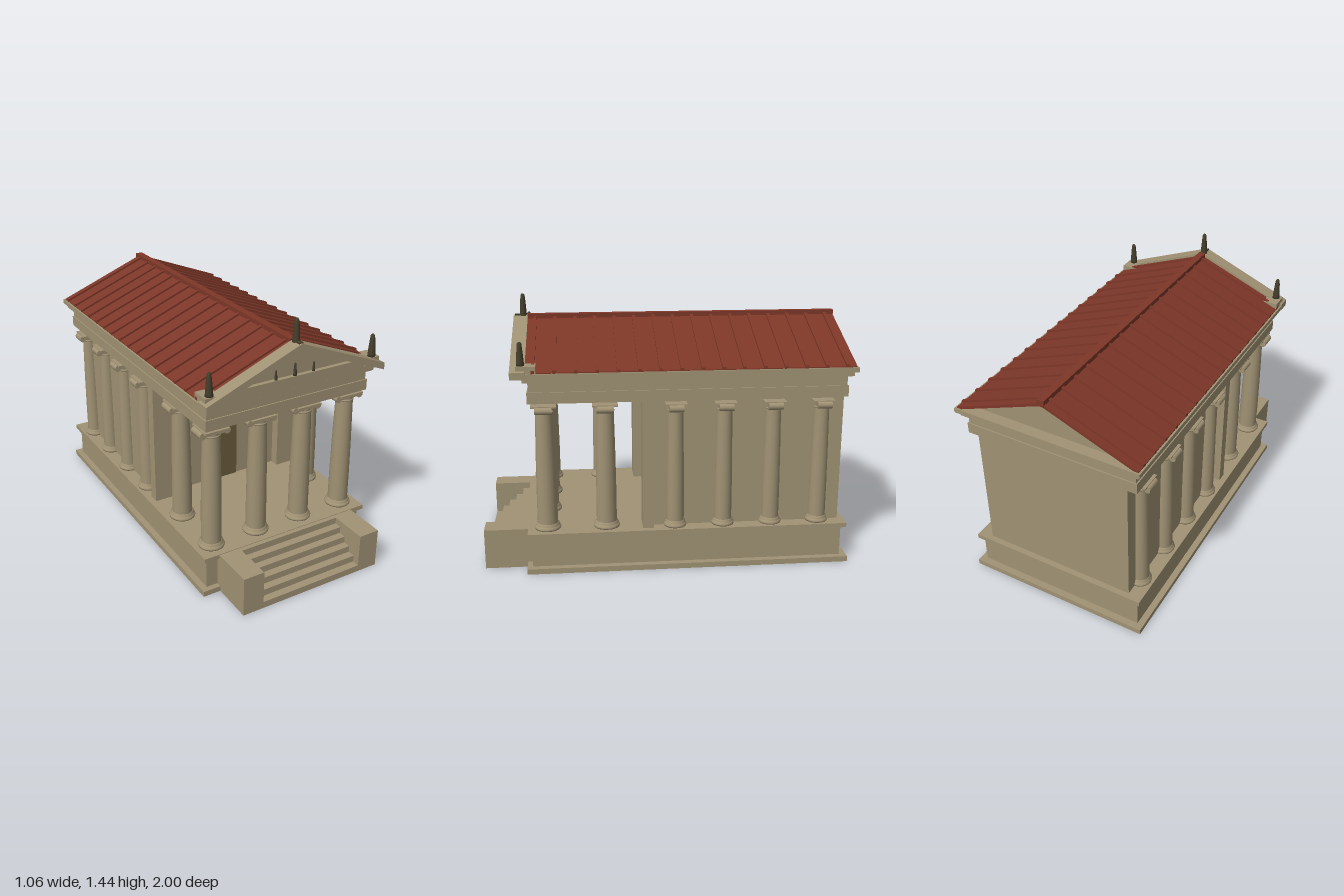
import * as THREE from 'three';

const mat = (color) => new THREE.MeshStandardMaterial({ color, side: THREE.DoubleSide });

export function createModel() {
  const root = new THREE.Group();
  const stone = mat(0xa09274), roofRed = mat(0x7d3728), doorWood = mat(0x6b5c3a), bronze = mat(0x453e2c);

  const add = (name, geo, m = stone, parent = root) => {
    const mesh = new THREE.Mesh(geo, m);
    mesh.name = name;
    parent.add(mesh);
    return mesh;
  };
  // Box given by its limits on each axis
  const box = (name, x0, x1, y0, y1, z0, z1, m = stone, parent = root) => {
    const b = add(name, new THREE.BoxGeometry(x1 - x0, y1 - y0, z1 - z0), m, parent);
    b.position.set((x0 + x1) / 2, (y0 + y1) / 2, (z0 + z1) / 2);
    return b;
  };
  // Removes the underside of a box
  const openBelow = ({ geometry }) => {
    const index = Array.from(geometry.index.array);
    index.splice(18, 6);
    geometry.setIndex(index);
    geometry.clearGroups();
  };
  // Outline in x,y extruded from z0 to z1
  const prism = (name, pts, z0, z1, m = stone) => {
    const shape = new THREE.Shape(pts.map(([x, y]) => new THREE.Vector2(x, y)));
    const p = add(name, new THREE.ExtrudeGeometry(shape, { depth: z1 - z0, bevelEnabled: false }), m);
    p.position.z = z0;
    return p;
  };
  // Gabled strip of constant vertical thickness t
  const chevron = (name, x, yEave, yPeak, t, z0, z1, m) =>
    prism(name, [[-x, yEave - t], [0, yPeak - t], [x, yEave - t], [x, yEave], [0, yPeak], [-x, yEave]], z0, z1, m);
  const lathe = (pts, sides) => new THREE.LatheGeometry(pts.map(([r, y]) => new THREE.Vector2(r, y)), sides);

  // Podium
  openBelow(box('podiumPlinth', -0.525, 0.525, 0, 0.03, -0.992, 0.77));
  box('podiumBody', -0.49, 0.49, 0.03, 0.2, -0.955, 0.74);
  box('podiumMoulding', -0.513, 0.513, 0.2, 0.225, -0.98, 0.762);

  // Stairs: treads and risers, open underneath
  const rise = 0.037, run = 0.0425;
  const riserGeo = new THREE.PlaneGeometry(0.61, rise);
  const treadGeo = new THREE.PlaneGeometry(0.61, run).rotateX(-Math.PI / 2);
  for (let i = 0; i < 6; i++) {
    add('stairRiser', riserGeo).position.set(0, (i + 0.5) * rise, 1 - i * run);
    add('stairTread', treadGeo).position.set(0, (i + 1) * rise, 1 - (i + 0.5) * run);
  }
  for (const s of [-1, 1]) {
    const cheek = box('stairCheekWall', -0.06, 0.06, 0, 0.222, 0.735, 1);
    openBelow(cheek);
    cheek.position.x = s * 0.365;
  }

  // Inner chamber with corner piers projecting around its front wall, and door
  box('chamber', -0.435, 0.435, 0.225, 0.942, -0.948, 0.085);
  for (const s of [-1, 1]) {
    const pier = box('cornerPier', -0.067, 0.067, 0.225, 0.942, 0.083, 0.14);
    pier.position.x = s * 0.411;
  }
  box('door', -0.085, 0.085, 0.225, 0.665, 0.08, 0.092, doorWood);

  // Columns
  const baseGeo = lathe([[0, 0], [0.07, 0], [0.072, 0.008], [0.068, 0.016], [0.061, 0.02], [0.063, 0.027], [0.056, 0.034]], 20);
  const shaftGeo = lathe([[0.055, 0.03], [0.0545, 0.2], [0.052, 0.4], [0.047, 0.64], [0.047, 0.67]], 20);
  const neckGeo = new THREE.TorusGeometry(0.045, 0.006, 8, 20);
  const voluteGeo = new THREE.CylinderGeometry(0.019, 0.019, 0.09, 16);
  const column = (name, x, z, k = 1) => {
    const g = new THREE.Group();
    g.name = name;
    add('columnBase', baseGeo, stone, g);
    add('columnShaft', shaftGeo, stone, g);
    const neck = add('columnNeckRing', neckGeo, stone, g);
    neck.rotation.x = Math.PI / 2;
    neck.position.y = 0.653;
    box('capitalCushion', -0.068, 0.068, 0.665, 0.69, -0.044, 0.044, stone, g);
    for (const s of [-1, 1]) {
      const v = add('capitalVolute', voluteGeo, stone, g);
      v.rotation.x = Math.PI / 2;
      v.position.set(s * 0.069, 0.674, 0);
    }
    box('capitalAbacus', -0.07, 0.07, 0.688, 0.697, -0.067, 0.067, stone, g);
    g.position.set(x, 0.225, z);
    g.scale.set(k, 1, k);
    root.add(g);
  };
  for (const x of [-0.413, -0.138, 0.138, 0.413]) column('frontColumn', x, 0.655);
  for (const s of [-1, 1]) {
    column('porchColumn', s * 0.413, 0.335);
    for (let i = 0; i < 4; i++) column('engagedColumn', s * 0.437, -0.038 - i * 0.263, 0.87);
  }

  // Entablature
  box('architrave', -0.49, 0.49, 0.94, 1.0, -0.955, 0.737);
  box('frieze', -0.483, 0.483, 1.0, 1.06, -0.948, 0.73);
  box('corniceBed', -0.51, 0.51, 1.055, 1.08, -0.975, 0.757);
  box('cornice', -0.528, 0.528, 1.08, 1.105, -0.995, 0.777);

  // Dentils, almost flush with the cornice bed
  const dentilGeo = new THREE.BoxGeometry(0.016, 0.014, 0.016);
  const dentil = (x, z) => add('dentil', dentilGeo).position.set(x, 1.07, z);
  for (let i = 0; i < 30; i++) {
    const x = -0.493 + i * 0.034;
    dentil(x, 0.75);
    dentil(x, -0.968);
  }
  for (let i = 0; i < 50; i++) {
    const z = -0.95 + i * 0.0345;
    dentil(-0.503, z);
    dentil(0.503, z);
  }

  // Pediments, the back one recessed under the roof
  const gable = [[-0.5, 1.1], [0.5, 1.1], [0, 1.3]];
  prism('frontTympanum', gable, 0.72, 0.755);
  prism('backTympanum', gable, -0.935, -0.9);
  box('pedimentSill', -0.455, 0.455, 1.1, 1.143, 0.74, 0.778);
  chevron('rakingCornice', 0.53, 1.115, 1.327, 0.038, 0.74, 0.817);

  // Roof with ribs and ridge beam
  chevron('roof', 0.517, 1.11, 1.313, 0.016, -0.985, 0.742, roofRed);
  for (let i = 0; i < 16; i++) {
    const z = 0.7 - i * 0.109;
    chevron('roofRib', 0.519, 1.121, 1.324, 0.02, z - 0.009, z + 0.009, roofRed);
  }
  box('ridgeBeam', -0.02, 0.02, 1.295, 1.33, -0.987, 0.742, roofRed);

  // Roof ornaments
  const finialGeo = lathe([[0, 0], [0.17, 0], [0.16, 0.12], [0.14, 0.4], [0.11, 0.75], [0.09, 0.93], [0.05, 0.99], [0, 1]], 14);
  const finial = (name, x, y, z, h, w) => {
    const f = add(name, finialGeo, bronze);
    f.position.set(x, y, z);
    f.scale.set(w, h, w);
  };
  for (const s of [-1, 1]) {
    const pad = box('cornerFinialBase', -0.046, 0.046, 1.1, 1.143, 0.685, 0.785);
    pad.position.x = s * 0.472;
    finial('cornerFinial', s * 0.484, 1.14, 0.762, 0.125, 0.125);
    finial('pedimentFigure', s * 0.113, 1.143, 0.767, 0.052, 0.045);
  }
  finial('pedimentFigure', 0, 1.143, 0.767, 0.068, 0.055);
  finial('ridgeFinial', 0, 1.3, 0.765, 0.143, 0.125);
  box('ridgeFinialBracket', -0.012, 0.012, 1.295, 1.33, 0.77, 0.81, bronze);

  return root;
}
